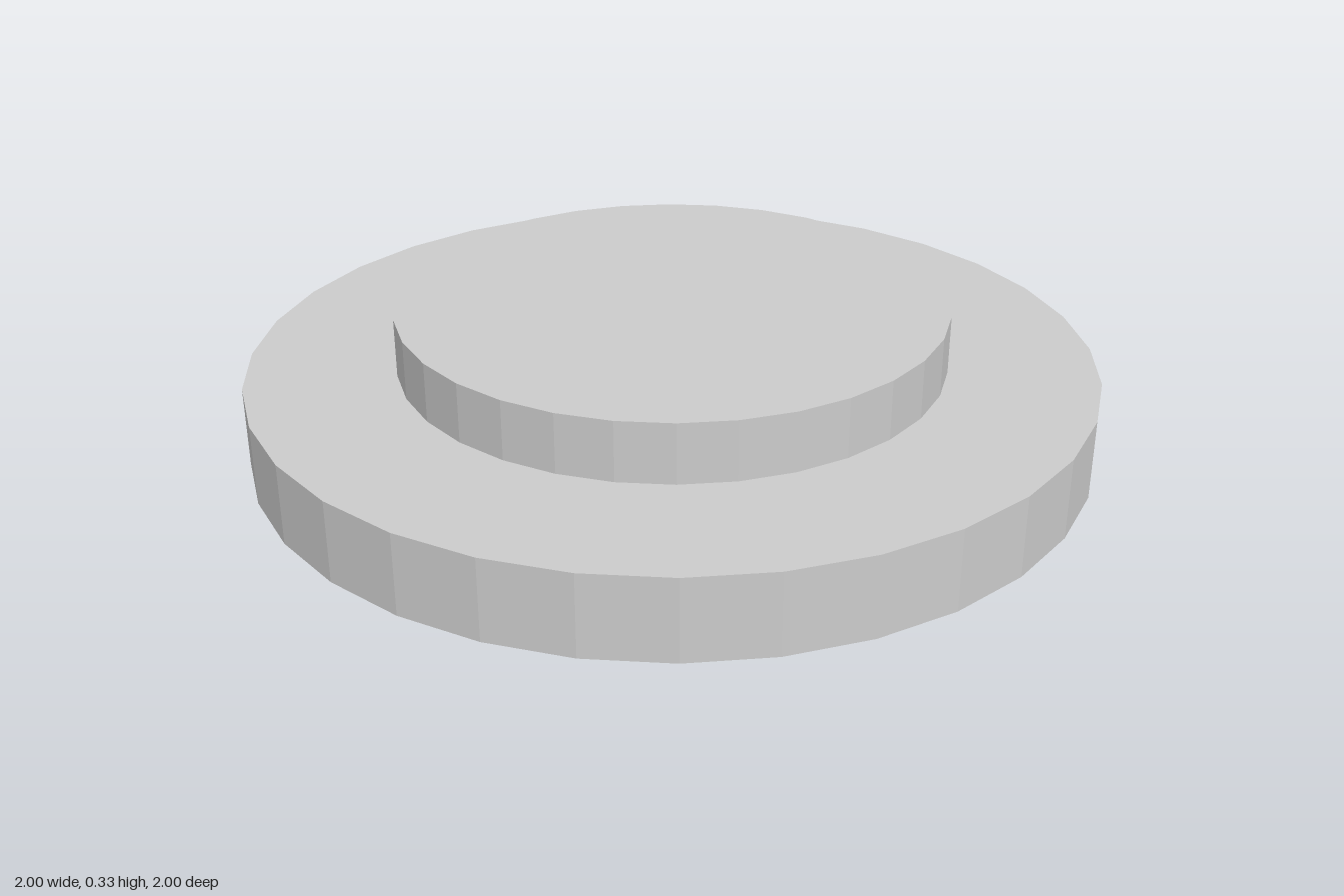
import * as THREE from 'three';

const SIDES = 32;

export function createModel() {
  const group = new THREE.Group();
  const material = new THREE.MeshStandardMaterial({ color: 0xcccccc, flatShading: true });

  // A faceted disc standing on the given height
  const addDisc = (name, radius, bottom, top) => {
    const geometry = new THREE.CylinderGeometry(radius, radius, top - bottom, SIDES);
    const disc = new THREE.Mesh(geometry, material);
    disc.name = name;
    disc.position.y = (bottom + top) / 2;
    group.add(disc);
  };

  addDisc('base', 1, 0, 0.19);           // wide lower disc
  addDisc('raisedTop', 0.65, 0.19, 0.33); // smaller disc on top

  return group;
}
